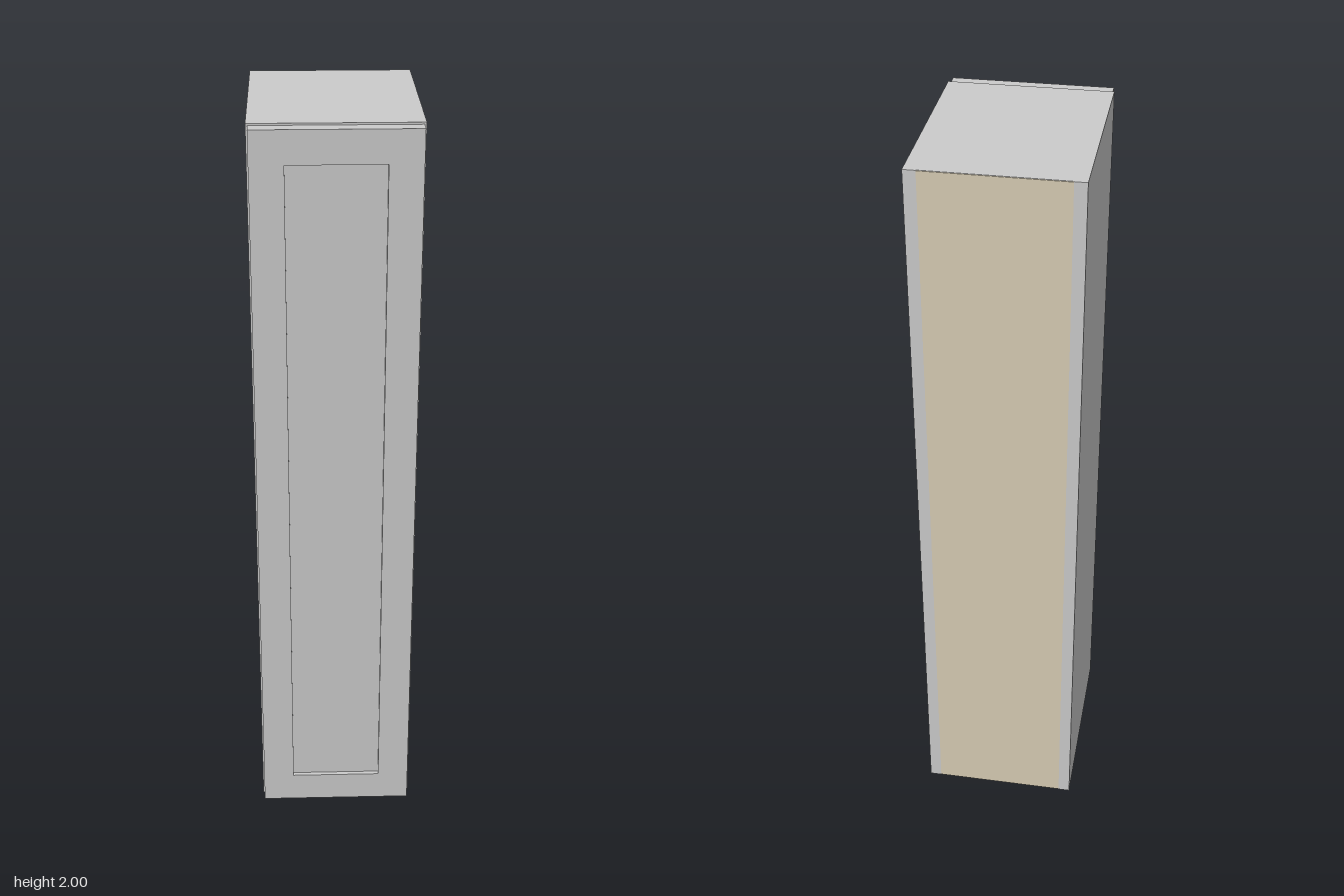
import * as THREE from 'three';

const grey = new THREE.MeshStandardMaterial({ color: 0xcccccc });
const tan = new THREE.MeshStandardMaterial({ color: 0xd8cdb4 });

// Box given by its minimum and maximum corners
function panel(name, [x0, y0, z0], [x1, y1, z1], material = grey) {
  const mesh = new THREE.Mesh(new THREE.BoxGeometry(x1 - x0, y1 - y0, z1 - z0), material);
  mesh.position.set((x0 + x1) / 2, (y0 + y1) / 2, (z0 + z1) / 2);
  mesh.name = name;
  return mesh;
}

function rectangle(PathType, x0, y0, x1, y1) {
  return new PathType([[x0, y0], [x1, y0], [x1, y1], [x0, y1]].map(([x, y]) => new THREE.Vector2(x, y)));
}

export function createModel() {
  const model = new THREE.Group();
  model.name = 'tallCabinet';

  const back = -0.285, carcassFront = 0.247, doorFront = 0.285;
  const outer = 0.213, inner = 0.181, thick = 0.032, recess = 0.012;

  // Carcass: two sides, top, bottom and back
  model.add(
    panel('leftSide', [inner, 0, back], [outer, 2, carcassFront]),
    panel('rightSide', [-outer, 0, back], [-inner, 2, carcassFront]),
    panel('top', [-inner, 2 - thick, back + 0.002], [inner, 2, carcassFront]),
    panel('bottom', [-inner, 0, back + 0.002], [inner, thick, carcassFront], tan),
    panel('back', [-inner, 0.001, back], [inner, 1.999, back + 0.01], tan),
  );

  // Door: a frame around a slightly recessed centre panel
  const door = new THREE.Group();
  door.name = 'door';
  const shape = rectangle(THREE.Shape, -0.208, 0.008, 0.208, 1.995);
  shape.holes.push(rectangle(THREE.Path, -0.123, 0.093, 0.123, 1.91));
  const frame = new THREE.Mesh(
    new THREE.ExtrudeGeometry(shape, { depth: doorFront - carcassFront, bevelEnabled: false }), grey);
  frame.position.z = carcassFront;
  frame.name = 'doorFrame';
  door.add(frame, panel('doorPanel', [-0.123, 0.093, carcassFront], [0.123, 1.91, doorFront - recess]));
  model.add(door);

  return model;
}
